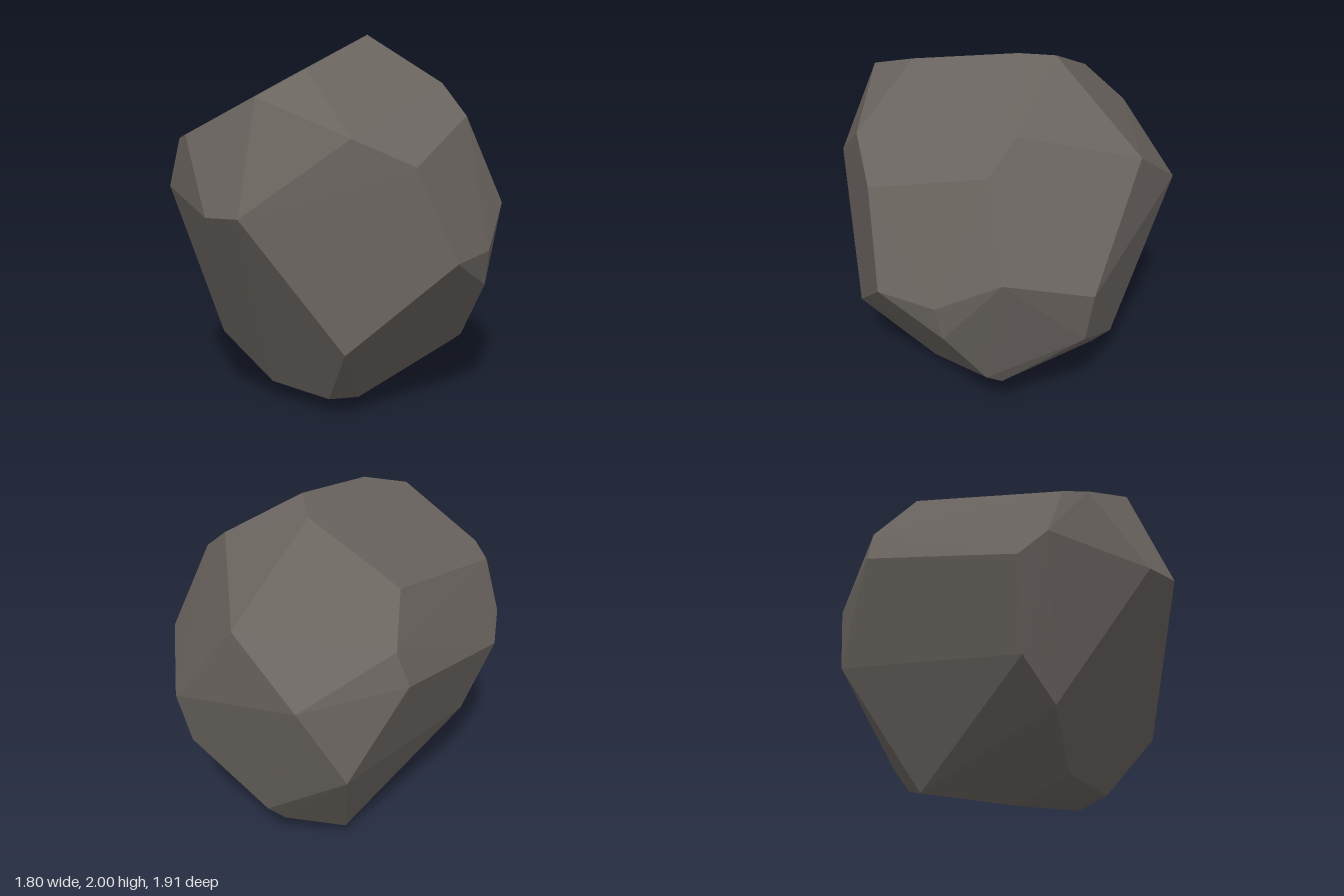
import * as THREE from 'three';
import { ConvexGeometry } from 'three/addons/geometries/ConvexGeometry.js';

// Corners of the boulder, listed by region; the convex hull makes the facets
const crown = [
  [0.13, 2.0, -0.10], [0.05, 1.96, -0.29], [-0.08, 1.86, 0.48],
  [-0.28, 1.74, 0.73], [0.55, 1.74, -0.12], [0.70, 1.58, 0.01], [-0.45, 1.70, -0.44],
];
const front = [
  [0.21, 1.55, 0.75], [0.52, 1.40, 0.64], [-0.31, 1.17, 0.96],
  [-0.52, 1.14, 0.83], [0.73, 0.90, 0.58], [0.19, 0.45, 0.80],
];
const sides = [
  [-0.72, 1.51, 0.53], [-0.80, 1.47, 0.40], [-0.89, 1.19, 0.33],
  [-0.90, 1.06, 0.18], [-0.74, 0.59, 0.18], [-0.60, 0.37, 0.33],
  [0.90, 1.09, -0.08], [0.86, 0.90, 0.27], [0.84, 0.70, 0.23],
];
const back = [
  [0.33, 1.53, -0.75], [-0.04, 1.23, -0.95], [-0.48, 1.48, -0.67],
  [-0.55, 1.29, -0.68], [-0.28, 0.77, -0.86], [0.74, 0.94, -0.54], [0.68, 0.62, -0.50],
];
const base = [
  [0.70, 0.34, 0.02], [0.64, 0.27, -0.06], [0.18, 0.06, 0.38],
  [0.05, 0.10, 0.54], [-0.31, 0.11, 0.37], [-0.16, 0.0, 0.08],
  [-0.18, 0.08, -0.42], [0.14, 0.19, -0.55], [0.21, 0.33, -0.65],
];

export function createModel() {
  const group = new THREE.Group();
  group.name = 'rock';

  const stone = new THREE.MeshStandardMaterial({ color: 0x6b6560 });
  stone.name = 'warm grey stone';
  stone.flatShading = true;

  const corners = [crown, front, sides, back, base].flat()
    .map((p) => new THREE.Vector3(...p));
  const boulder = new THREE.Mesh(new ConvexGeometry(corners), stone);
  boulder.name = 'boulder';
  group.add(boulder);
  return group;
}
